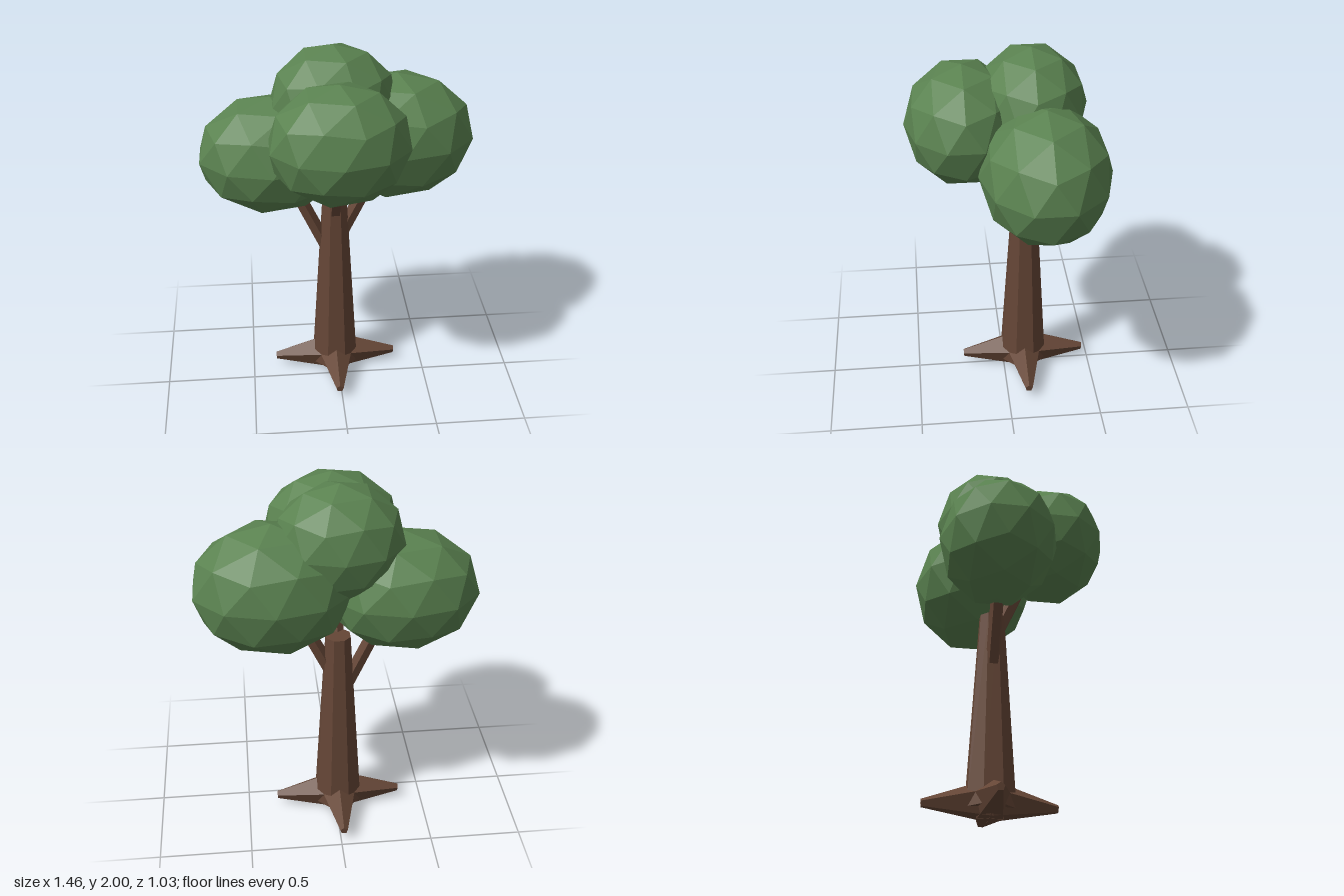
import * as THREE from 'three';

const bark = new THREE.MeshStandardMaterial({ color: 0x654636, flatShading: true });
bark.name = 'bark brown';
const leaf = new THREE.MeshStandardMaterial({ color: 0x5a8250, flatShading: true });
leaf.name = 'leaf green';

const AX = -0.015, AZ = -0.115; // trunk axis

function addMesh(parent, name, geometry, material) {
  const mesh = new THREE.Mesh(geometry, material);
  mesh.name = name;
  parent.add(mesh);
  return mesh;
}

// Tapered five-sided limb from a to b, with one ridge on top
function addLimb(parent, name, a, b, r0, r1) {
  const from = new THREE.Vector3(...a), to = new THREE.Vector3(...b);
  const length = from.distanceTo(to);
  const geometry = new THREE.CylinderGeometry(r1, r0, length, 5)
    .rotateY(Math.PI).rotateX(Math.PI / 2).translate(0, 0, length / 2);
  const limb = addMesh(parent, name, geometry, bark);
  limb.position.copy(from);
  limb.lookAt(to);
}

// Faceted leaf ball with a vertex at its top and an upper-ring vertex toward +x
function addFoliage(parent, name, centre, radii) {
  const tilt = Math.atan(2 / (1 + Math.sqrt(5)));
  const geometry = new THREE.IcosahedronGeometry(1, 1).rotateZ(-tilt).scale(...radii);
  addMesh(parent, name, geometry, leaf).position.set(...centre);
}

export function createModel() {
  const tree = new THREE.Group();
  tree.name = 'tree';

  // Trunk with a flat face to the front
  const trunk = new THREE.CylinderGeometry(0.07, 0.137, 1.08, 8).rotateY(Math.PI / 8);
  addMesh(tree, 'trunk', trunk, bark).position.set(AX, 0.59, AZ);

  // Four roots spreading in a cross
  for (let i = 0; i < 4; i++) {
    const angle = i * Math.PI / 2;
    const tip = [AX + 0.35 * Math.sin(angle), 0.07, AZ + 0.35 * Math.cos(angle)];
    addLimb(tree, 'root' + (i + 1), [AX, 0.096, AZ], tip, 0.115, 0.022);
  }

  // Branches reaching into the leaf balls
  addLimb(tree, 'rightBranch', [-0.02, 0.73, AZ], [-0.27, 1.27, AZ], 0.04, 0.036);
  addLimb(tree, 'leftBranch', [-0.01, 0.84, AZ], [0.22, 1.31, AZ], 0.04, 0.036);
  addLimb(tree, 'frontBranch', [AX, 0.94, -0.13], [AX, 1.38, 0.07], 0.04, 0.037);

  // Crown
  addFoliage(tree, 'rightFoliage', [-0.35, 1.405, -0.133], [0.402, 0.325, 0.314]);
  addFoliage(tree, 'leftFoliage', [0.323, 1.47, -0.18], [0.422, 0.35, 0.336]);
  addFoliage(tree, 'frontFoliage', [-0.016, 1.605, 0.21], [0.37, 0.32, 0.303]);
  addFoliage(tree, 'topFoliage', [-0.02, 1.69, -0.14], [0.34, 0.31, 0.29]);

  return tree;
}
